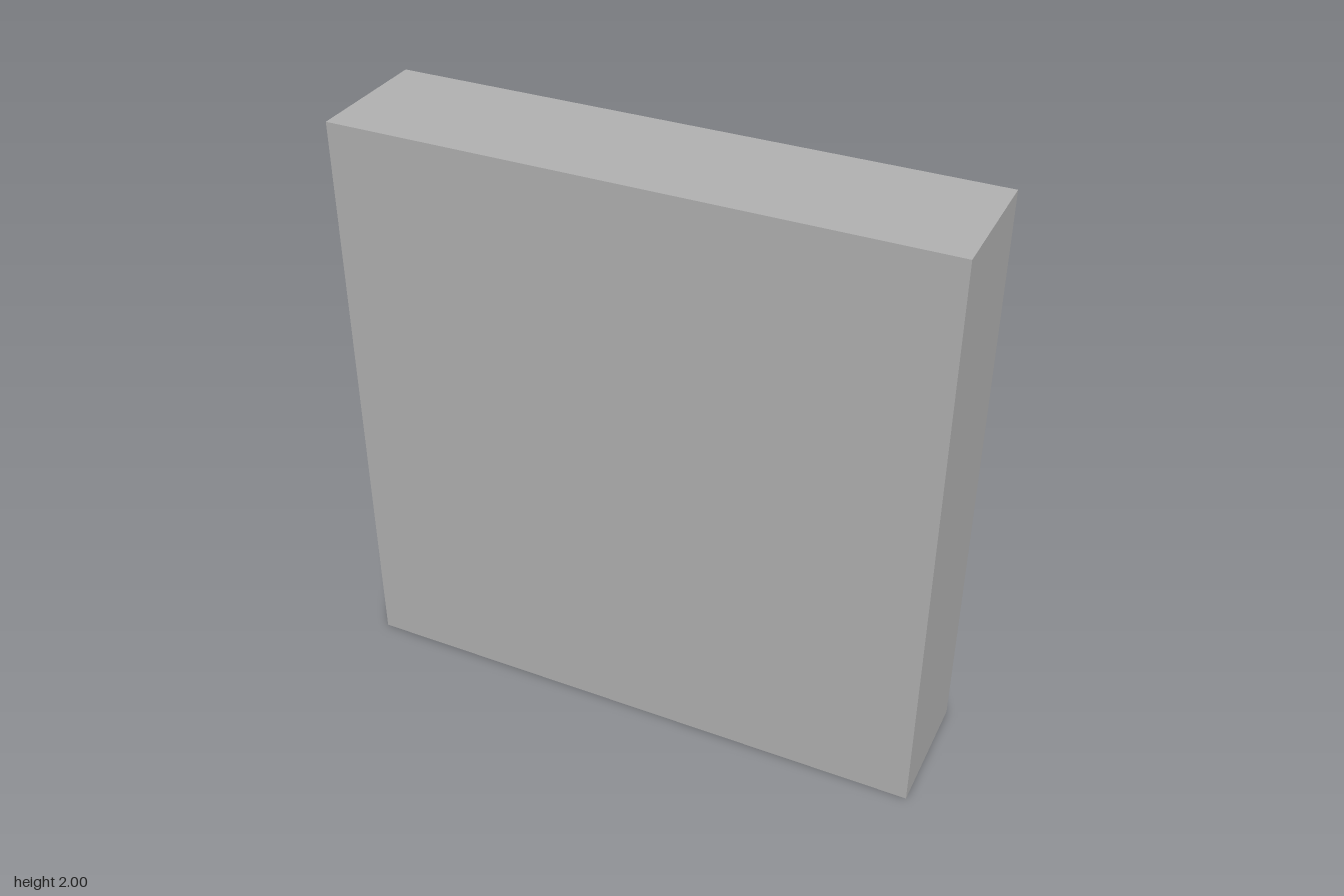
import * as THREE from 'three';

const HALF_DEPTH = 0.222;   // outer half thickness in z
const FLOOR_Z = 0.143;      // recess floor
const BORDER = 0.205;       // width of the rim around the recess

// Closed outline from a few points
const trace = (Outline, points) => new Outline(points.map(([x, y]) => new THREE.Vector2(x, y)));
const square = (Outline, h) => trace(Outline, [[-h, -h], [h, -h], [h, h], [-h, h]]);

export function createModel() {
  const group = new THREE.Group();
  group.name = 'recessedPanel';
  const gray = new THREE.MeshStandardMaterial({ color: 0xb2b2b2 });
  gray.name = 'plain gray';

  const add = (name, geometry) => {
    const mesh = new THREE.Mesh(geometry, gray);
    mesh.name = name;
    group.add(mesh);
  };

  // Solid front panel
  const thickness = HALF_DEPTH - FLOOR_Z;
  add('frontPanel', new THREE.BoxGeometry(2, 2, thickness)
    .translate(0, 1, FLOOR_Z + thickness / 2));

  // Square rim surrounding the recess at the back
  const rim = square(THREE.Shape, 1);
  rim.holes.push(square(THREE.Path, 1 - BORDER));
  add('rim', new THREE.ExtrudeGeometry(rim, { depth: FLOOR_Z + HALF_DEPTH, bevelEnabled: false })
    .translate(0, 1, -HALF_DEPTH));

  // Ridged block on the recess floor: plan outline (x, -z) raised along y
  const plan = trace(THREE.Shape, [
    [-0.555, -FLOOR_Z], [0.555, -FLOOR_Z], [0.555, -0.03], [0, 0.2], [-0.555, -0.03],
  ]);
  add('ridgedBlock', new THREE.ExtrudeGeometry(plan, { depth: 0.45, bevelEnabled: false })
    .rotateX(-Math.PI / 2)
    .translate(0, 0.775, 0));

  return group;
}
